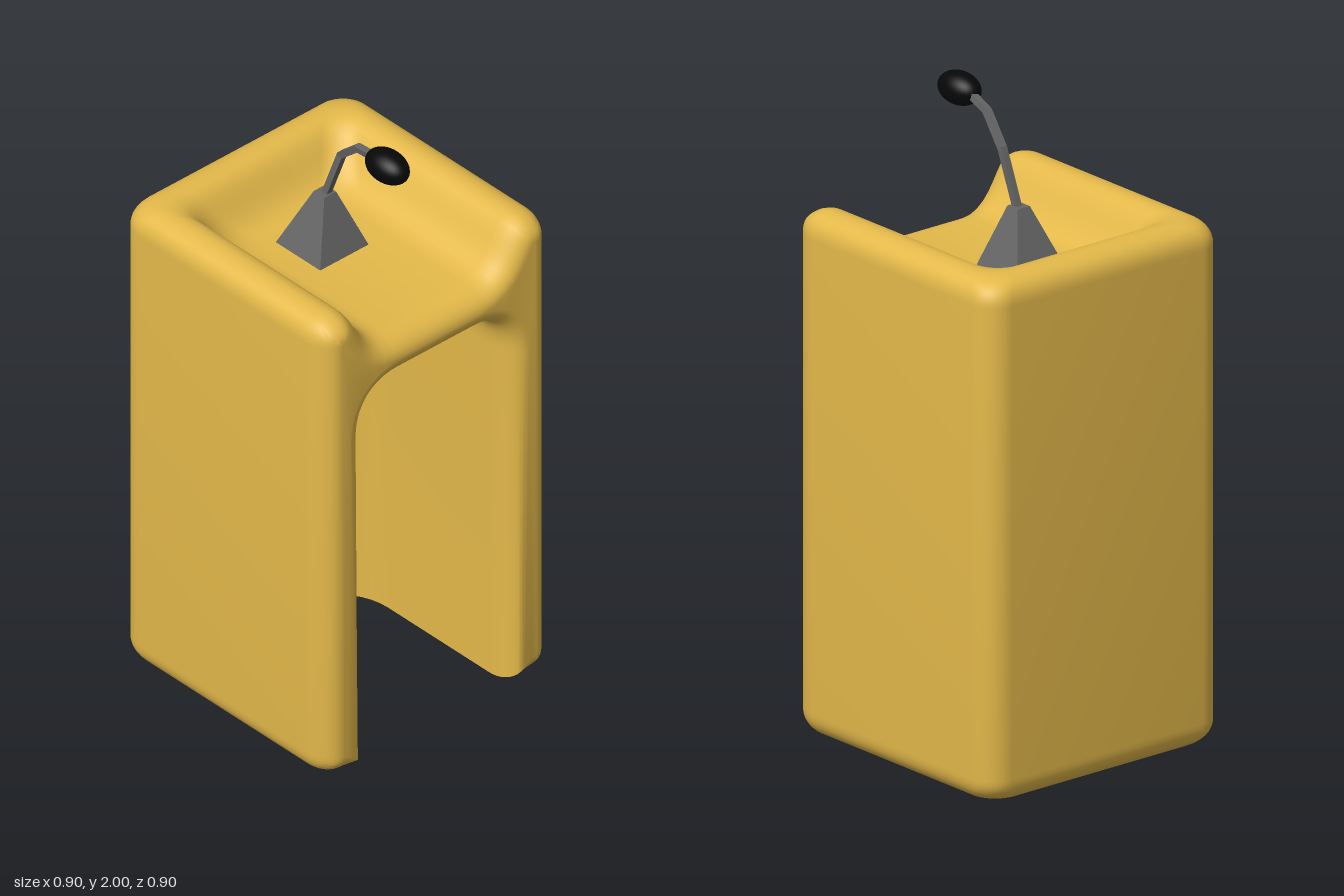
import * as THREE from 'three';
import { toCreasedNormals } from 'three/addons/utils/BufferGeometryUtils.js';

const yellow = new THREE.MeshStandardMaterial({ color: 0xe4b94a });
const grey = new THREE.MeshStandardMaterial({ color: 0x666666, flatShading: true });
const black = new THREE.MeshStandardMaterial({ color: 0x070707 });

const HALF = 0.452;         // half width of the body
const FRONT_INSET = 0.068;  // rounding of the front edges, across
const FRONT_DEPTH = 0.1;    // rounding of the front edges, along z
const CORNER = 0.085;       // plan radius of the outer and tray corners
const HOLLOW_CORNER = 0.2;  // plan radius of the hollow's back corners

// Half cross-section: ceiling, inner wall, foot, outer wall, rim, tray floor
function bodyProfile() {
  const p = new THREE.Path();
  p.moveTo(0, 1.34);
  p.lineTo(0.15, 1.34);
  p.quadraticCurveTo(0.29, 1.34, 0.29, 1.19);
  p.lineTo(0.29, 0);
  p.lineTo(0.37, 0);
  p.bezierCurveTo(0.425, 0, HALF, 0.03, HALF, 0.08);
  p.lineTo(HALF, 1.56);
  p.bezierCurveTo(HALF, 1.61, 0.425, 1.64, 0.37, 1.64);
  p.bezierCurveTo(0.285, 1.64, 0.295, 1.48, 0.17, 1.48);
  p.lineTo(0, 1.48);
  return p.getPoints(10);
}

// Move every profile point inwards, keeping the ends on the middle plane
function inset(profile, amount) {
  return profile.map((p, i) => {
    const a = profile[Math.max(i - 1, 0)], b = profile[Math.min(i + 1, profile.length - 1)];
    const d1 = p.clone().sub(a).normalize(), d2 = b.clone().sub(p).normalize();
    const t = d1.add(d2).normalize();
    return new THREE.Vector2(p.x - t.y * amount, p.y + t.x * amount);
  });
}

// Sweep the half section along a U: left side, round the back, right side
function bodyGeometry() {
  const profile = bodyProfile(), n = profile.length;
  const half = [];
  const STEPS = 10;
  for (let i = 0; i <= STEPS; i++) {
    const a = (i / STEPS) * Math.PI / 2;
    const z = HALF - FRONT_DEPTH * (1 - Math.cos(a));
    half.push(inset(profile, FRONT_INSET * (1 - Math.sin(a))).map(p => [p.x, p.y, z]));
  }
  for (let i = 0; i <= STEPS; i++) {
    const a = (i / STEPS) * Math.PI / 2;
    half.push(profile.map(p => {
      const inHollow = p.x < 0.3 && p.y < 1.4;
      const r = Math.min(inHollow ? HOLLOW_CORNER : CORNER, p.x), c = p.x - r;
      return [c + r * Math.cos(a), p.y, -c - r * Math.sin(a)];
    }));
  }
  const mirrored = half.map(ring => ring.map(([x, y, z]) => [-x, y, z])).reverse();
  const rings = [...half, ...mirrored];

  const index = [];
  for (let s = 0; s < rings.length - 1; s++) {
    for (let i = 0; i < n - 1; i++) {
      const a = s * n + i, b = a + 1, c = a + n, d = c + 1;
      index.push(a, c, b, b, c, d);
    }
  }
  // Flat front face, one half on each side
  const outline = half[0].map(([x, y]) => new THREE.Vector2(x, y));
  const last = (rings.length - 1) * n;
  for (const [a, b, c] of THREE.ShapeUtils.triangulateShape(outline, [])) {
    index.push(a, b, c, last + a, last + c, last + b);
  }

  const geometry = new THREE.BufferGeometry();
  geometry.setAttribute('position', new THREE.Float32BufferAttribute(rings.flat(2), 3));
  geometry.setIndex(index);
  return toCreasedNormals(geometry, Math.PI / 4);
}

// Four-sided rod between two points
function rod(from, to, radius) {
  const dir = to.clone().sub(from);
  const geometry = new THREE.CylinderGeometry(radius, radius, dir.length() + 0.006, 4);
  geometry.rotateY(Math.PI / 4);
  const mesh = new THREE.Mesh(geometry, grey);
  mesh.position.copy(from).add(to).multiplyScalar(0.5);
  mesh.quaternion.setFromUnitVectors(new THREE.Vector3(0, 1, 0), dir.normalize());
  return mesh;
}

function createMicrophone() {
  const group = new THREE.Group();
  group.name = 'microphone';

  // Pyramid foot, its small top shifted slightly forwards
  const footGeometry = new THREE.CylinderGeometry(0.033, 0.139, 0.2, 4);
  footGeometry.rotateY(Math.PI / 4);
  const pos = footGeometry.attributes.position;
  for (let i = 0; i < pos.count; i++) {
    if (pos.getY(i) > 0) pos.setZ(i, pos.getZ(i) + 0.012);
  }
  const foot = new THREE.Mesh(footGeometry, grey);
  foot.name = 'microphoneFoot';
  foot.position.set(-0.002, 1.575, -0.057);
  group.add(foot);

  // Bent arm
  const bends = [
    [0, 1.66, -0.045], [0.006, 1.84, 0.02], [-0.016, 1.925, 0.115], [-0.034, 1.95, 0.22],
  ].map(p => new THREE.Vector3(...p));
  for (let i = 0; i < 3; i++) {
    const arm = rod(bends[i], bends[i + 1], 0.015);
    arm.name = 'microphoneArm' + (i + 1);
    group.add(arm);
  }

  // Foam head
  const head = new THREE.Mesh(new THREE.SphereGeometry(1, 32, 20), black);
  head.name = 'microphoneHead';
  head.scale.set(0.052, 0.051, 0.08);
  head.position.set(-0.037, 1.949, 0.265);
  group.add(head);
  return group;
}

export function createModel() {
  const model = new THREE.Group();
  model.name = 'lectern';
  const body = new THREE.Mesh(bodyGeometry(), yellow);
  body.name = 'lecternBody';
  model.add(body, createMicrophone());
  return model;
}
